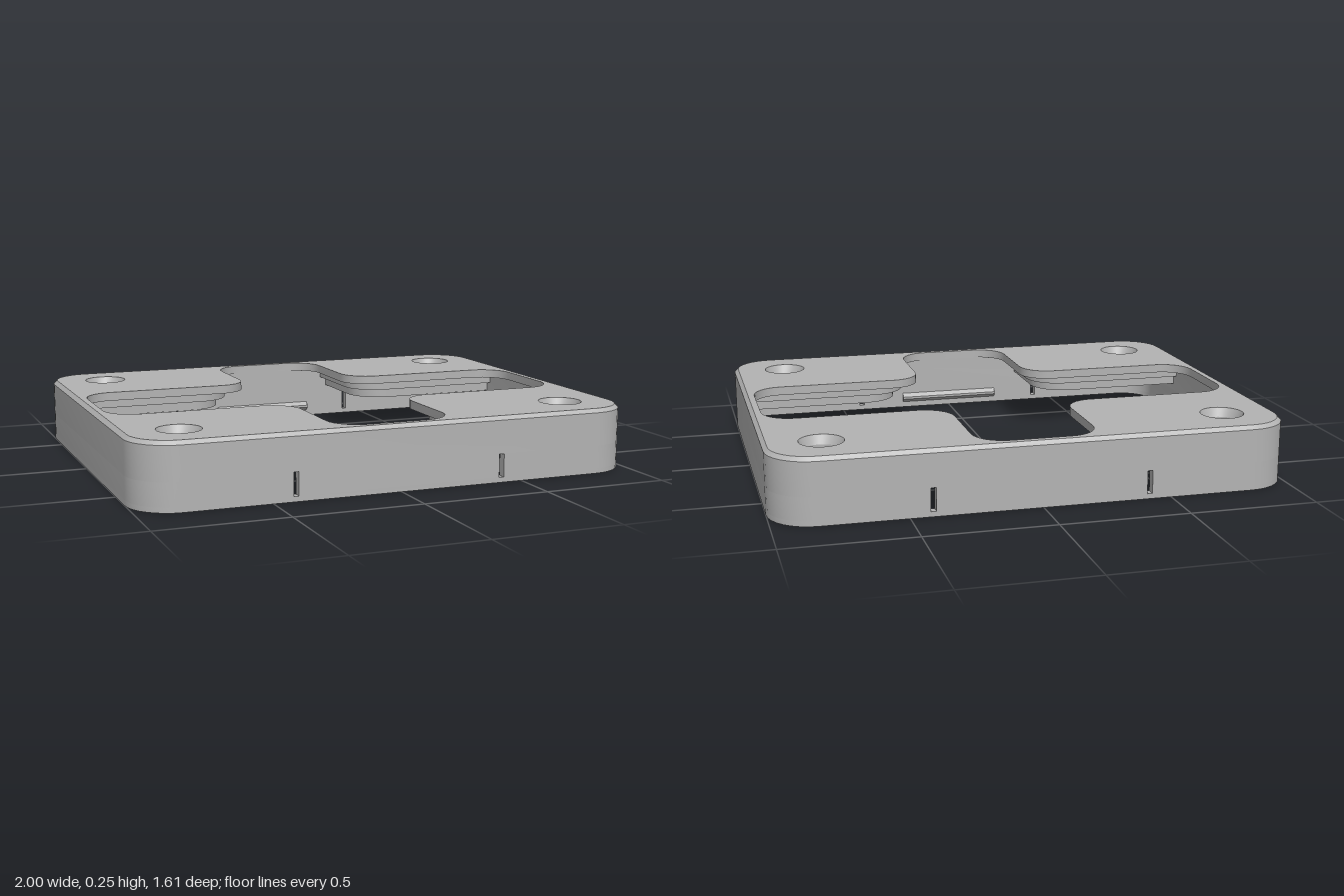
import * as THREE from 'three';
import { toCreasedNormals, mergeGeometries } from 'three/addons/utils/BufferGeometryUtils.js';

const V = (x, z) => new THREE.Vector2(x, z);

// Closed loop with right-angled corners rounded by the given radii.
function roundedLoop(corners, radii, steps = 8) {
  const out = [];
  corners.forEach(([x, z], i) => {
    const n = corners.length, c = V(x, z), r = Array.isArray(radii) ? radii[i] : radii;
    if (!r) return out.push(c);
    const u = V(...corners[(i + n - 1) % n]).sub(c).normalize();
    const v = V(...corners[(i + 1) % n]).sub(c).normalize();
    for (let k = 0; k <= steps; k++) {
      const t = (k / steps) * Math.PI / 2;
      out.push(c.clone().addScaledVector(u, r * (1 - Math.sin(t))).addScaledVector(v, r * (1 - Math.cos(t))));
    }
  });
  return out;
}
const rect = (a, b, r) => roundedLoop([[a, -b], [a, b], [-a, b], [-a, -b]], r);
const circle = (x, z, r) => Array.from({ length: 32 }, (_, i) =>
  V(x + r * Math.cos(i * Math.PI / 16), z + r * Math.sin(i * Math.PI / 16)));

function makeShape(outline, holes = []) {
  const s = new THREE.Shape(outline);
  s.holes = holes.map((h) => new THREE.Path(h));
  return s;
}

// Upright solid from a plan outline.
function slab(outline, holes, y0, y1) {
  const g = new THREE.ExtrudeGeometry(makeShape(outline, holes), { depth: y1 - y0, bevelEnabled: false });
  return toCreasedNormals(g.rotateX(Math.PI / 2).translate(0, y1, 0), 0.5);
}

// Flat face of a plan outline, looking up or down.
function face(outline, holes, y, up) {
  const g = new THREE.ShapeGeometry(makeShape(outline, holes));
  return g.rotateX(up ? -Math.PI / 2 : Math.PI / 2).translate(0, y, 0).toNonIndexed();
}

// Skin between two loops: faces outward when A is the lower loop, inward when A is the upper.
function skin(a, ya, b, yb) {
  const pos = [], idx = [], n = a.length;
  a.forEach((p, i) => pos.push(p.x, ya, p.y, b[i].x, yb, b[i].y));
  for (let i = 0; i < n; i++) {
    const p = 2 * i, q = 2 * ((i + 1) % n);
    idx.push(p, p + 1, q, q, p + 1, q + 1);
  }
  const g = new THREE.BufferGeometry();
  g.setAttribute('position', new THREE.Float32BufferAttribute(pos, 3));
  g.setAttribute('uv', new THREE.Float32BufferAttribute(new Array(pos.length / 3 * 2).fill(0), 2));
  g.setIndex(idx);
  return toCreasedNormals(g, 0.5);
}

export function createModel() {
  const group = new THREE.Group();
  const grey = new THREE.MeshStandardMaterial({ color: 0xb3b3b3 });
  grey.name = 'plain grey';
  const add = (name, geometry) => {
    const m = new THREE.Mesh(geometry, grey);
    m.name = name;
    group.add(m);
  };

  const W = 1, D = 0.805, T = 0.035, R = 0.17, EDGE = 0.24, TOP = 0.255, UNDER = 0.22;
  const HX = 0.785, HZ = 0.595, SIGNS = [[1, 1], [-1, 1], [-1, -1], [1, -1]];
  const outer = rect(W, D, R), inner = rect(W - T, D - T, R - T);
  const rim = rect(W - 0.015, D - 0.015, R - 0.015);

  // Cross-shaped opening
  const ax = 0.96, az = 0.765, bx = 0.237, bz = 0.26;
  const cross = roundedLoop([
    [ax, -bz], [ax, bz], [bx, bz], [bx, az], [-bx, az], [-bx, bz],
    [-ax, bz], [-ax, -bz], [-bx, -bz], [-bx, -az], [bx, -az], [bx, -bz],
  ], 0.12);

  // Top plate with chamfered rim and countersunk corner holes
  const wide = SIGNS.map(([sx, sz]) => circle(sx * HX, sz * HZ, 0.085));
  const narrow = SIGNS.map(([sx, sz]) => circle(sx * HX, sz * HZ, 0.07));
  add('topPlate', mergeGeometries([
    face(rim, [cross, ...wide], TOP, true),
    face(inner, [cross, ...narrow], UNDER, false),
    skin(outer, EDGE, rim, TOP),
    skin(cross, TOP, cross, UNDER),
    ...wide.map((w, i) => skin(w, TOP, narrow[i], UNDER)),
  ]));

  // Outer wall, with a slotted band between two full rings
  add('upperWall', slab(outer, [inner], 0.11, EDGE));
  add('lowerWall', slab(outer, [inner], 0, 0.02));
  const s0 = 0.404, s1 = 0.424;
  for (const s of [1, -1]) {
    const x = s * s1, xo = s * W, xi = s * (W - T), zi = D - T;
    add('sideWall', slab(roundedLoop(
      [[x, D], [xo, D], [xo, -D], [x, -D], [x, -zi], [xi, -zi], [xi, zi], [x, zi]],
      [0, R, R, 0, 0, R - T, R - T, 0]), [], 0.02, 0.11));
    add('clipWall', slab(roundedLoop([[s0, s * zi], [s0, s * D], [-s0, s * D], [-s0, s * zi]], 0), [], 0.02, 0.11));

    // Snap ridge inside the clip wall
    const ridge = new THREE.ExtrudeGeometry(
      makeShape([V(0.005, 0.02), V(-0.017, 0.04), V(-0.017, 0.05), V(0.005, 0.07)]),
      { depth: 0.44, bevelEnabled: false });
    ridge.translate(0, 0, -0.22).rotateY(s > 0 ? -Math.PI / 2 : Math.PI / 2).translate(0, 0, s * zi);
    add('snapRidge', ridge);
  }

  // Thick stepped pads under the four corners
  SIGNS.forEach(([sx, sz], i) => {
    const pad = (x, z) => roundedLoop(
      [[x, 0.775], [x, z], [0.97, z], [0.97, 0.775]].map(([px, pz]) => [sx * px, sz * pz]),
      [0, 0.14, 0, R - T]);
    add('cornerPad', slab(pad(0.29, 0.32), [narrow[i]], 0.18, UNDER));
    add('cornerPadStep', slab(pad(0.32, 0.35), [narrow[i]], 0.14, 0.18));
  });
  return group;
}
